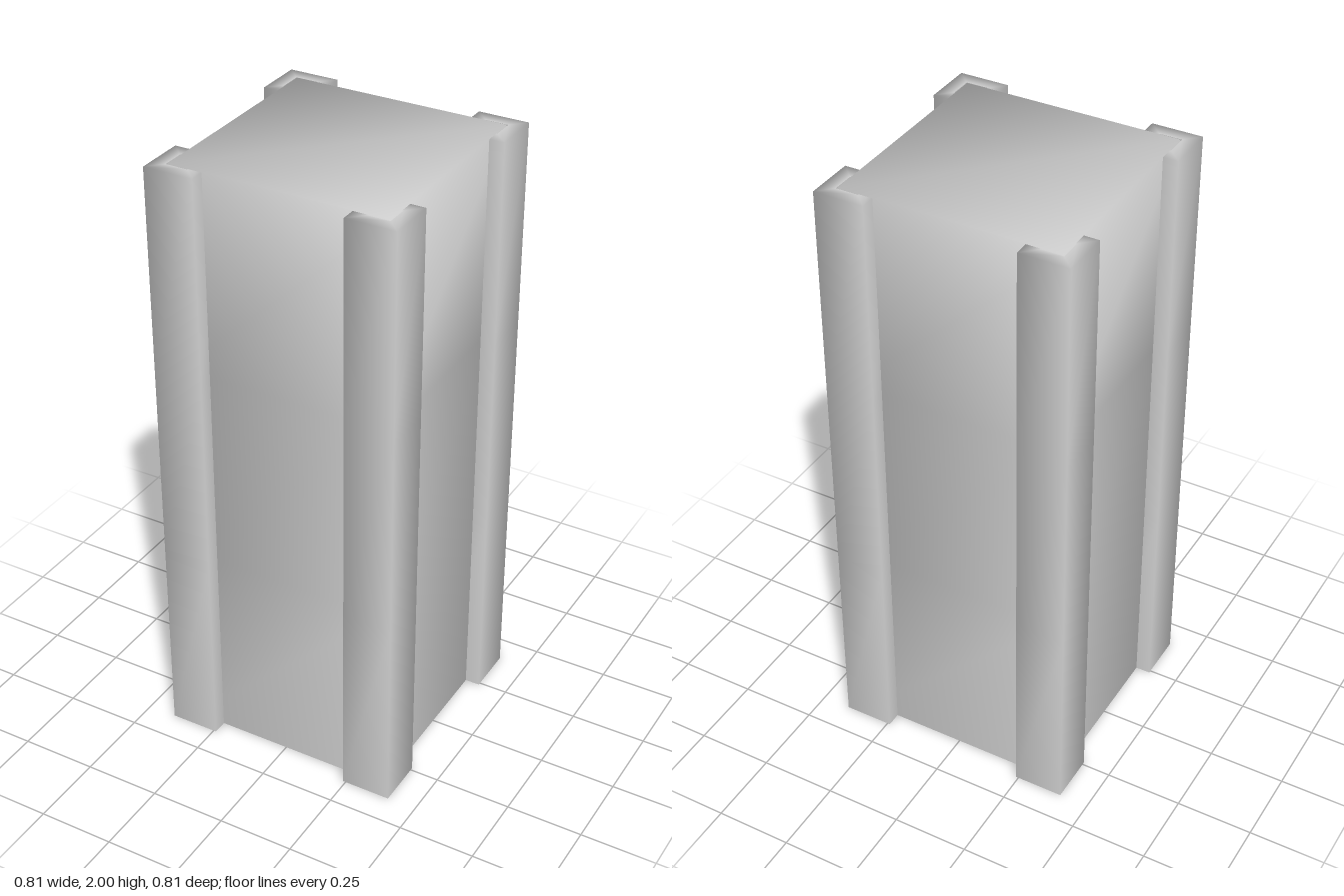
import * as THREE from 'three';

const material = new THREE.MeshStandardMaterial({ color: 0xcccccc, side: THREE.DoubleSide });
const corners = [[-1, 1], [1, 1], [1, -1], [-1, -1]];

// Square shell, open below, with shared vertices for soft shading.
// The top is closed, or is a flat rim when a hole size is given.
function squareShell(half, height, hole = 0) {
  const rings = [0, 1, 2, 3].map((i) => [half, (height * i) / 3]);
  if (hole) rings.push([hole, height]);

  const positions = [];
  const index = [];
  rings.forEach(([h, y], r) => {
    corners.forEach(([x, z], i) => {
      positions.push(x * h, y, z * h);
      if (r === 0) return;
      const next = (i + 1) % 4;
      const a = (r - 1) * 4 + i, b = (r - 1) * 4 + next;
      const c = r * 4 + next, d = r * 4 + i;
      index.push(a, b, c, a, c, d);
    });
  });
  if (!hole) {
    const t = (rings.length - 1) * 4;
    index.push(t, t + 1, t + 2, t, t + 2, t + 3);
  }

  const geometry = new THREE.BufferGeometry();
  geometry.setAttribute('position', new THREE.Float32BufferAttribute(positions, 3));
  geometry.setIndex(index);
  geometry.computeVertexNormals();
  return geometry;
}

export function createModel() {
  const group = new THREE.Group();
  group.name = 'squareColumn';

  // Hollow central shaft
  const shaft = new THREE.Mesh(squareShell(0.355, 2), material);
  shaft.name = 'shaft';
  group.add(shaft);

  // Corner posts, a hair lower so their rims do not flicker against the shaft top
  const postGeometry = squareShell(0.0815, 1.999, 0.036);
  for (const [x, z] of corners) {
    const post = new THREE.Mesh(postGeometry, material);
    post.name = 'cornerPost';
    post.position.set(x * 0.3225, 0, z * 0.3225);
    group.add(post);
  }
  return group;
}
